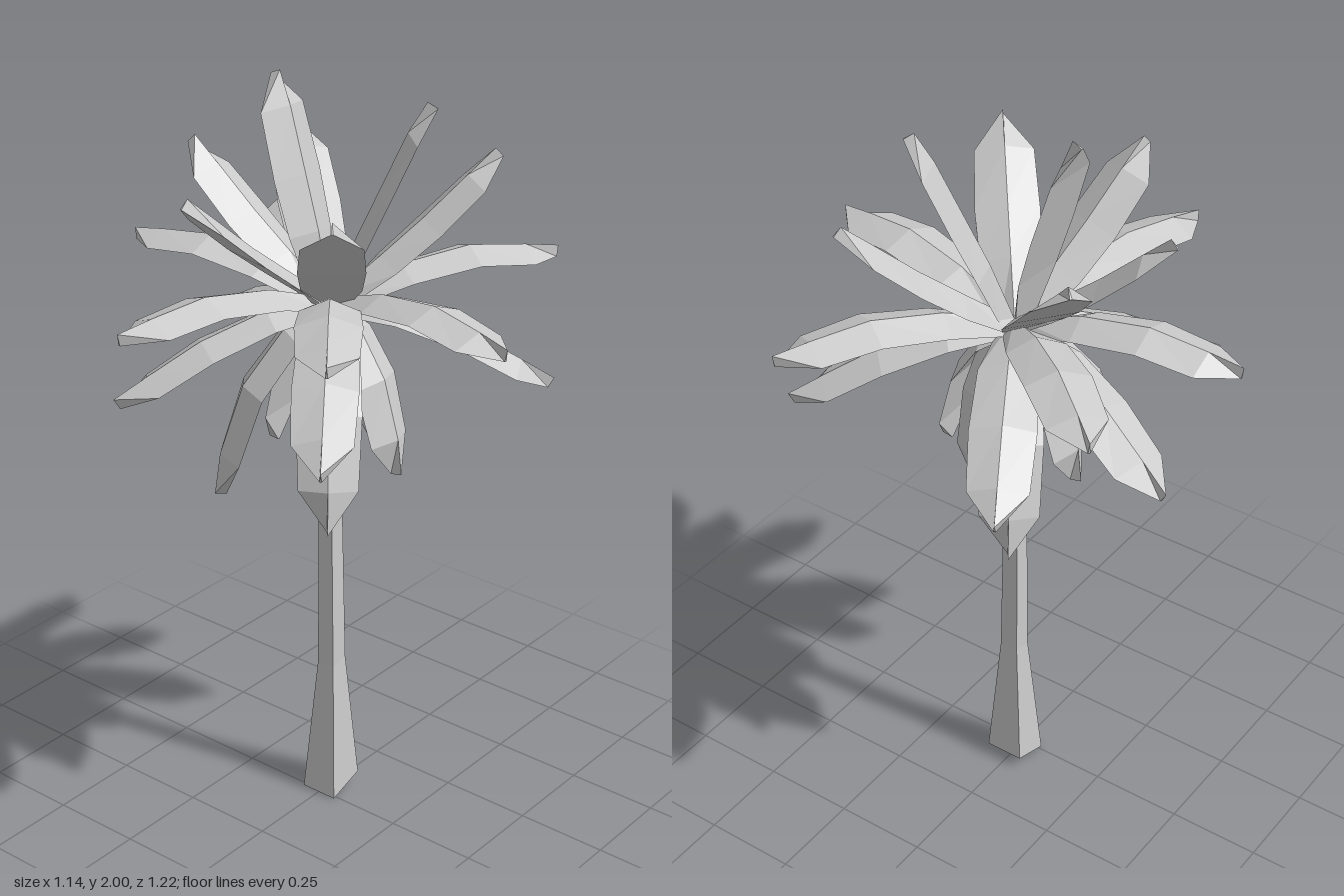
import * as THREE from 'three';

const material = new THREE.MeshStandardMaterial({ color: 0xcccccc, flatShading: true });

// Skin a list of equal-sized rings (Vector3 arrays) and cap both ends.
function loft(rings) {
  const pos = [];
  const tri = (a, b, c) => [a, b, c].forEach((p) => pos.push(p.x, p.y, p.z));
  const n = rings[0].length;
  for (let i = 0; i < rings.length - 1; i++) {
    for (let j = 0; j < n; j++) {
      const k = (j + 1) % n;
      tri(rings[i][j], rings[i][k], rings[i + 1][k]);
      tri(rings[i][j], rings[i + 1][k], rings[i + 1][j]);
    }
  }
  const first = rings[0], last = rings[rings.length - 1];
  for (let j = 1; j < n - 1; j++) {
    tri(first[0], first[j + 1], first[j]);
    tri(last[0], last[j], last[j + 1]);
  }
  const g = new THREE.BufferGeometry();
  g.setAttribute('position', new THREE.Float32BufferAttribute(pos, 3));
  g.computeVertexNormals();
  return g;
}

// Crown centre, where all fronds start
const CROWN = new THREE.Vector3(0.04, 1.45, 0);

// Frond styles: reach and height along the frond, as fractions of the tip offset
const STYLES = {
  steep: { r: [0, 0.25, 0.5, 0.8, 1], y: [0, 0.3, 0.55, 0.85, 1] },
  raised: { r: [0, 0.3, 0.56, 0.83, 1], y: [0, 0.28, 0.53, 0.82, 1] },
  level: { r: [0, 0.3, 0.6, 0.85, 1], y: [0, 1.1, 1.55, 1.25, 1] },
  drooping: { r: [0, 0.3, 0.6, 0.85, 1], y: [0, 0.08, 0.38, 0.76, 1] },
  hanging: { r: [0, 0.4, 0.75, 0.95, 1], y: [0, 0.14, 0.42, 0.78, 1] },
};
const HALF_WIDTH = [0.035, 0.075, 0.082, 0.075, 0.003];

// A bent, ridged blade running from the crown to its tip
function frondGeometry(style, x, y, z) {
  const { r, y: h } = STYLES[style];
  const tip = new THREE.Vector3(x, y, z).sub(CROWN);
  const path = r.map((f, i) => new THREE.Vector3(tip.x * f, tip.y * h[i], tip.z * f).add(CROWN));
  const flat = new THREE.Vector3(tip.x, 0, tip.z).normalize();
  const side = new THREE.Vector3().crossVectors(flat, new THREE.Vector3(0, 1, 0));
  return loft(path.map((p, i) => {
    const dir = path[Math.min(i + 1, 4)].clone().sub(path[Math.max(i - 1, 0)]).normalize();
    const normal = new THREE.Vector3().crossVectors(side, dir);
    const at = (s, n) => p.clone().addScaledVector(side, s).addScaledVector(normal, n);
    const w = HALF_WIDTH[i];
    return [at(0, 0), at(w, -0.03), at(0, -0.03), at(-w, -0.03)];
  }));
}

// Frond tips, by style
const FRONDS = {
  steep: [[0.05, 2.0, -0.17], [0.17, 1.96, 0.19]],
  raised: [[0, 1.8, -0.41], [0.3, 1.8, -0.33], [-0.37, 1.8, -0.1], [-0.28, 1.8, 0.26], [0.39, 1.8, 0.24]],
  level: [[-0.02, 1.51, -0.61], [0.43, 1.51, -0.48], [-0.57, 1.51, -0.15],
    [-0.41, 1.51, 0.35], [-0.07, 1.51, 0.61], [0.57, 1.51, 0.32]],
  drooping: [[0.19, 1.24, -0.54], [0.52, 1.24, -0.28], [-0.42, 1.24, -0.32],
    [-0.42, 1.24, 0.34], [0.38, 1.24, 0.45]],
  hanging: [[-0.22, 0.95, 0.2], [-0.22, 0.95, -0.17], [0.31, 0.95, -0.17],
    [0.05, 1.02, 0.22], [0.21, 1.02, 0.02], [0.02, 1.02, -0.19]],
};

export function createModel() {
  const model = new THREE.Group();
  const add = (name, geometry) => {
    const mesh = new THREE.Mesh(geometry, material);
    mesh.name = name;
    model.add(mesh);
  };

  // Square trunk with a flared, slanted foot: [y, x centre, half width, slant]
  const stations = [[0.018, 0.043, 0.053, 0.018], [0.4, 0.045, 0.026, 0.005],
    [0.85, 0.039, 0.022, 0], [1.44, 0.042, 0.022, 0]];
  add('trunk', loft(stations.map(([y, x, w, slant]) =>
    [[-1, -1], [-1, 1], [1, 1], [1, -1]].map(([sx, sz]) =>
      new THREE.Vector3(x + sx * w, y + sx * slant, sz * w)))));

  // Fronds
  for (const [style, tips] of Object.entries(FRONDS)) {
    tips.forEach((tip, i) => add(`${style}Frond${i + 1}`, frondGeometry(style, ...tip)));
  }
  return model;
}
